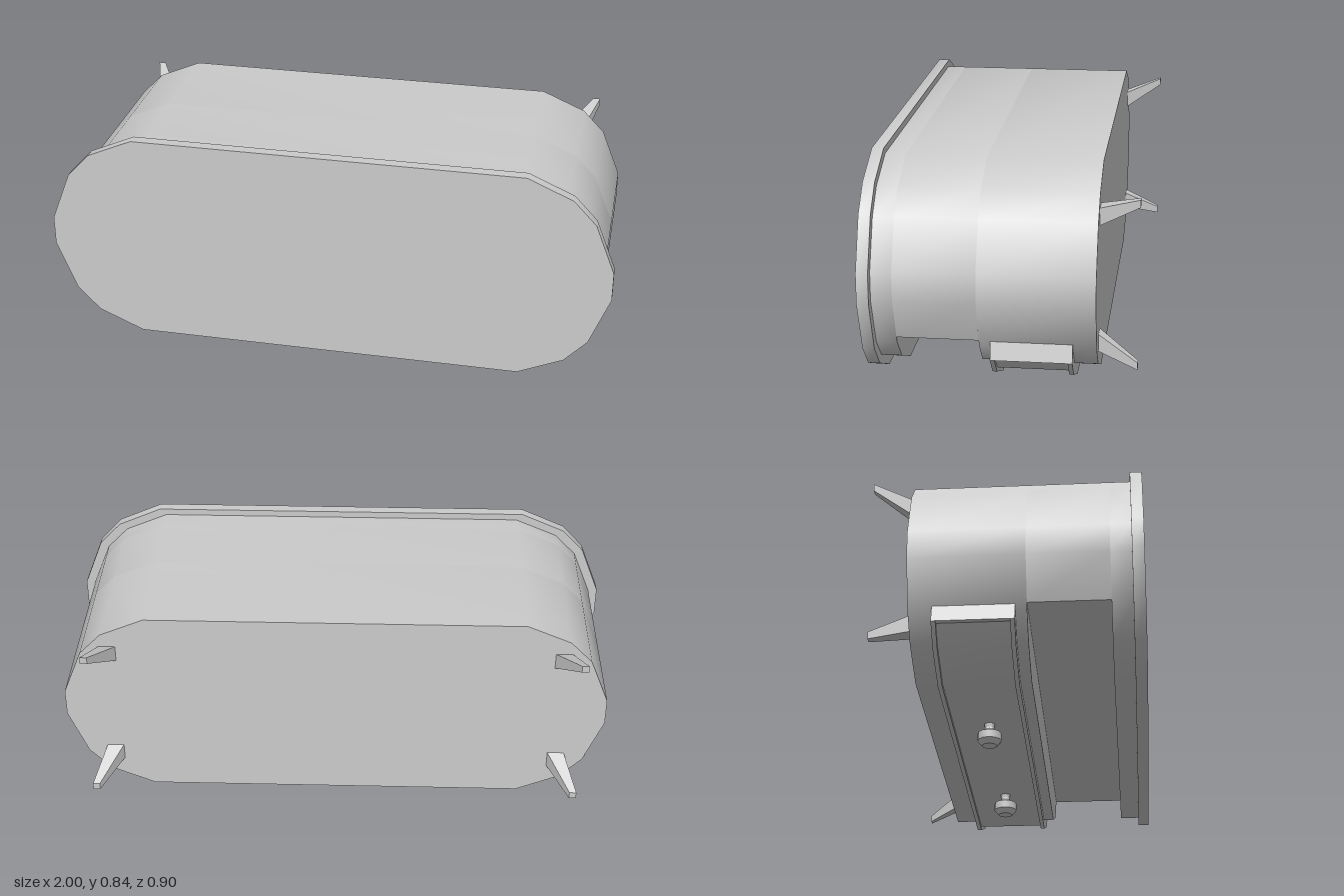
import * as THREE from 'three';
import { toCreasedNormals } from 'three/addons/utils/BufferGeometryUtils.js';

const MID = 0.455;
const material = new THREE.MeshStandardMaterial({ color: 0xcccccc });

// Right half of the rounded-end outline, bottom to top, relative to its middle.
const quarter = [[0.69, 0.385], [0.85, 0.315], [0.93, 0.23], [1, 0.052]];
const half = (sx, sy) => [
  ...quarter.map(([x, y]) => [x * sx, MID - y * sy]),
  ...[...quarter].reverse().map(([x, y]) => [x * sx, MID + y * sy]),
];

function mesh(name, geometry) {
  const m = new THREE.Mesh(geometry, material);
  m.name = name;
  return m;
}

// Mirrors a right half profile (bottom to top) and extrudes it from z0 to z1.
function slab(name, right, z0, z1) {
  const left = [...right].reverse().map(([x, y]) => [-x, y]);
  const shape = new THREE.Shape([...right, ...left].map(([x, y]) => new THREE.Vector2(x, y)));
  const g = new THREE.ExtrudeGeometry(shape, { depth: z1 - z0, bevelEnabled: false });
  g.translate(0, 0, z0);
  return mesh(name, toCreasedNormals(g, 0.55));
}

// Tapered square spike leaning outward and backward.
function spike(sx, sy) {
  const g = new THREE.BoxGeometry(1, 1, 1).toNonIndexed();
  const p = g.attributes.position;
  for (let i = 0; i < p.count; i++) {
    const tip = p.getZ(i) < 0;
    const size = tip ? 0.025 : 0.06;
    p.setXYZ(i,
      sx * (tip ? 0.86 : 0.8) + p.getX(i) * size,
      MID + sy * (tip ? 0.278 : 0.216) + p.getY(i) * size,
      tip ? -0.45 : -0.315);
  }
  g.computeVertexNormals();
  return mesh('rearSpike', g);
}

export function createModel() {
  const model = new THREE.Group();
  model.name = 'cabinet';

  // Front plate and the slightly smaller body behind it
  model.add(slab('frontPlate', half(1, 1), 0.41, 0.45));
  const full = half(0.967, 0.938);
  const cut = [[0.908, 0.26], ...full.slice(3)];
  model.add(slab('bodyRear', full, -0.318, 0.068));
  model.add(slab('bodyOverSlot', cut, 0.068, 0.34));
  model.add(slab('bodyFront', full, 0.34, 0.41));

  // Band wrapped around the underside: two rims and a recessed panel
  const rim = [[0.695, 0.067], [0.853, 0.13], [0.922, 0.197], [0.906, 0.26]];
  const panel = [[0.692, 0.08], [0.846, 0.142], [0.905, 0.196], [0.922, 0.197], [0.906, 0.26]];
  model.add(slab('bandRim', rim, 0.015, 0.03));
  model.add(slab('bandPanel', panel, -0.225, 0.015));
  model.add(slab('bandRim', rim, -0.24, -0.225));

  // Knobs under the band
  const knobProfile = [[0, 0], [0.026, 0], [0.042, 0.018], [0.042, 0.046], [0.018, 0.059], [0.016, 0.066], [0.02, 0.085]]
    .map(([x, y]) => new THREE.Vector2(x, y));
  for (const x of [-0.345, 0.345]) {
    const knob = mesh('knob', toCreasedNormals(new THREE.LatheGeometry(knobProfile, 12), 0.6));
    knob.position.set(x, 0, -0.1);
    model.add(knob);
  }

  // Four spikes on the back
  for (const sx of [-1, 1]) for (const sy of [-1, 1]) model.add(spike(sx, sy));

  return model;
}
